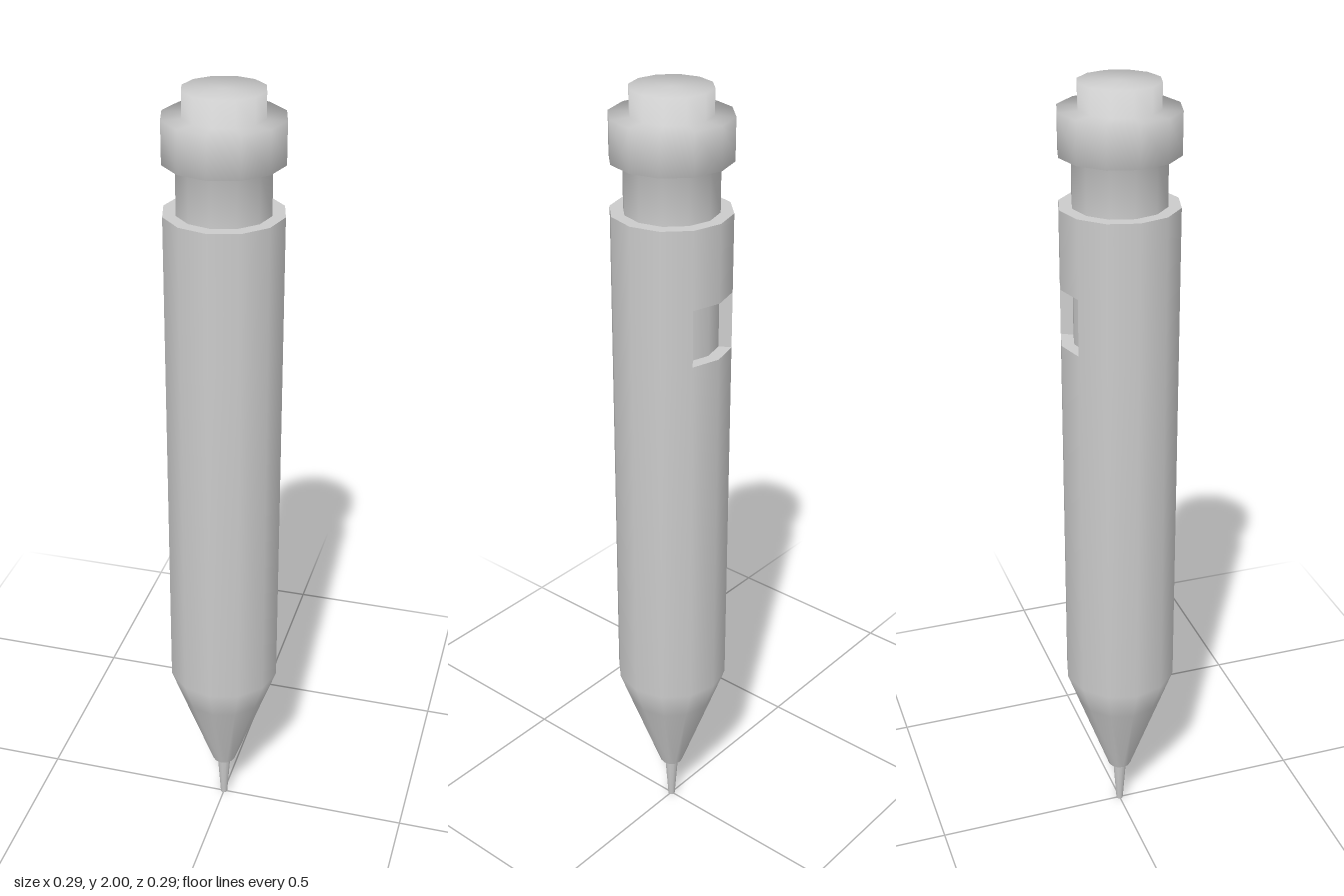
import * as THREE from 'three';

const STEP = Math.PI / 6; // twelve-sided throughout
const R = 0.143, CORE = 0.112;
const WIN_LOW = 1.39, WIN_HIGH = 1.53, BODY_TOP = 1.72;

const material = new THREE.MeshStandardMaterial({ color: 0xcccccc });
const thin = new THREE.MeshStandardMaterial({ color: 0xcccccc, side: THREE.DoubleSide });

// Turned part from [radius, height] pairs, running bottom to top; start and count are in facets
function turned(name, profile, start = 0, count = 12, mat = material) {
  const points = profile.map(([r, y]) => new THREE.Vector2(r, y));
  const geometry = new THREE.LatheGeometry(points, count, start * STEP, count * STEP);
  const mesh = new THREE.Mesh(geometry, mat);
  mesh.name = name;
  return mesh;
}

export function createModel() {
  const group = new THREE.Group();
  group.name = 'mechanicalPencil';

  // Writing end
  group.add(turned('tip', [[0, 0], [0.009, 0], [0.019, 0.14]]));
  group.add(turned('coneEnd', [[0, 0.127], [0.03, 0.127]]));

  // Cone and barrel, with a window across the two rear facets
  group.add(turned('lowerBarrel', [[0.03, 0.127], [0.113, 0.36], [R, 0.445], [R, WIN_LOW]]));
  group.add(turned('windowBand', [[R, WIN_LOW], [R, WIN_HIGH]], 7, 10));
  group.add(turned('upperBarrel', [[R, WIN_HIGH], [R, BODY_TOP]]));
  group.add(turned('barrelRim', [[R, BODY_TOP], [CORE, BODY_TOP]]));

  // Window recess: floor, ledges and side walls
  const recess = new THREE.Group();
  recess.name = 'windowRecess';
  recess.add(turned('windowFloor', [[CORE, WIN_LOW], [CORE, WIN_HIGH]], 5, 2));
  recess.add(turned('windowSill', [[R, WIN_LOW], [CORE, WIN_LOW]], 5, 2, thin));
  recess.add(turned('windowLintel', [[CORE, WIN_HIGH], [R, WIN_HIGH]], 5, 2, thin));
  for (const facet of [5, 7]) {
    const angle = facet * STEP, mid = (R + CORE) / 2;
    const wall = new THREE.Mesh(new THREE.PlaneGeometry(R - CORE, WIN_HIGH - WIN_LOW), thin);
    wall.position.set(mid * Math.sin(angle), (WIN_LOW + WIN_HIGH) / 2, mid * Math.cos(angle));
    wall.rotation.y = angle - Math.PI / 2;
    wall.name = 'windowSideWall';
    recess.add(wall);
  }
  group.add(recess);

  // Neck, collar and push button, softly shaded as one turned piece
  group.add(turned('pushButton', [
    [CORE, BODY_TOP], [CORE, 1.84], [R, 1.84], [R, 1.94],
    [0.096, 1.94], [0.096, 2], [0, 2],
  ]));

  return group;
}
